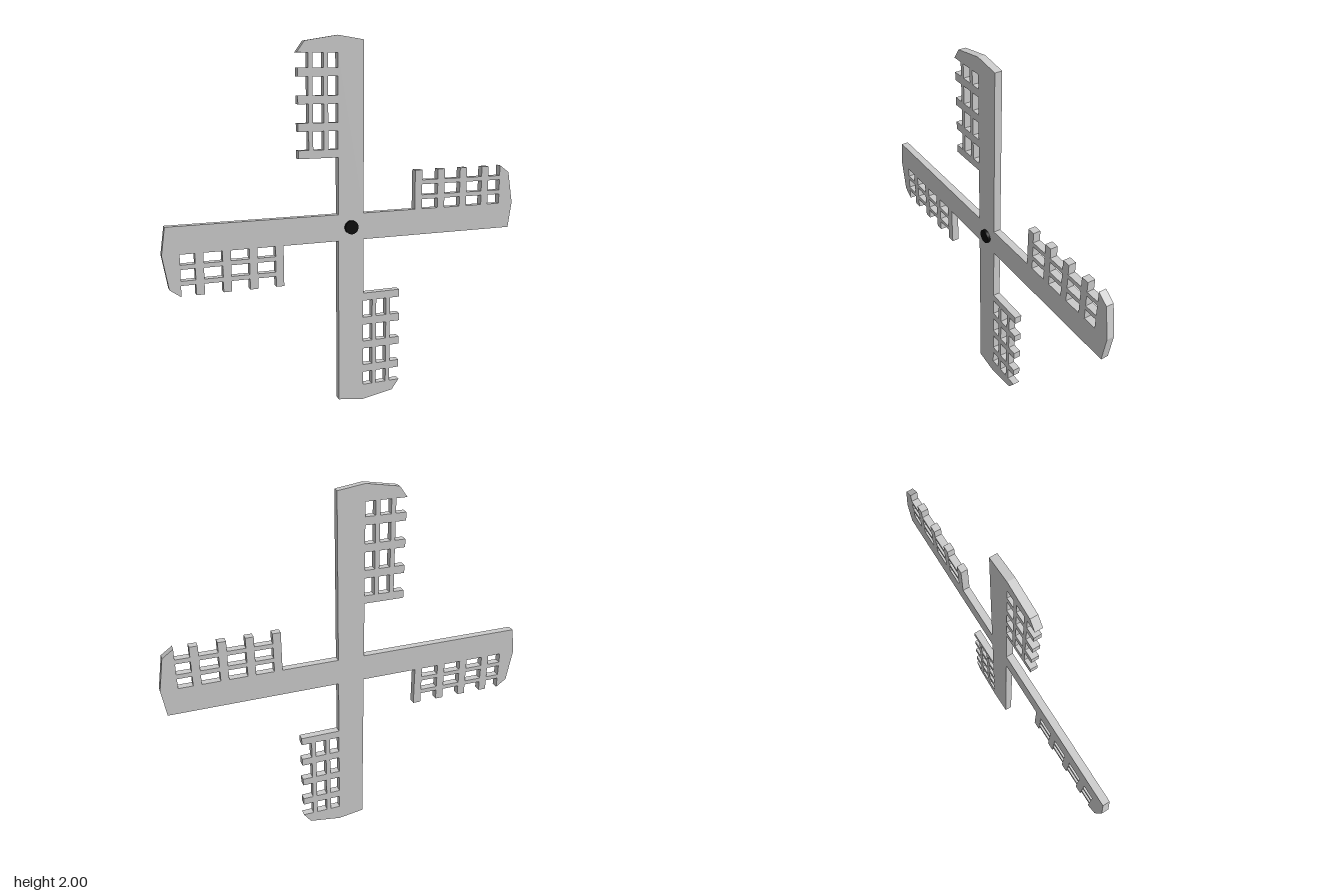
import * as THREE from 'three';

const HALF = 0.072;            // half width of a spar
const BACK = -0.028, FRONT = 0.012, HUB_FRONT = 0.028;
// lattice measures for the upright blade, measured from the hub
const RUNGS = [[0.377, 0.42], [0.516, 0.559], [0.655, 0.698], [0.794, 0.837]];
const RAIL = -0.233, RUNG_END = -0.289, CAP = 0.912;
const COLUMNS = [[-0.209, -0.15], [-0.126, -HALF]];

// quarter turns, clockwise seen from the front
function turn([x, y], quarters) {
  for (let i = 0; i < quarters; i++) [x, y] = [y, -x];
  return new THREE.Vector2(x, y);
}

// outline of one blade, from the inner left corner round the tip
function bladeOutline() {
  const pts = [[-HALF, HALF], [-HALF, RUNGS[0][0]]];
  RUNGS.forEach(([low, high], i) => {
    if (i > 0) pts.push([RAIL, low]);
    pts.push([RUNG_END, low], [RUNG_END, high], [RAIL, high]);
  });
  pts.push([RAIL, CAP], [-0.292, CAP], [-0.25, 0.97], [-HALF, 1], [HALF, 0.979]);
  return pts;
}

export function createModel() {
  const group = new THREE.Group();
  group.name = 'windmillSails';

  // four sails cut from one flat plate
  const outline = [];
  const holes = [];
  for (let q = 0; q < 4; q++) {
    for (const p of bladeOutline()) outline.push(turn(p, q));
    // lattice openings
    RUNGS.forEach(([, low], i) => {
      const high = i < RUNGS.length - 1 ? RUNGS[i + 1][0] : CAP;
      for (let [left, right] of COLUMNS) {
        const corners = [[left, low], [right, low], [right, high], [left, high]];
        holes.push(new THREE.Path(corners.map((p) => turn(p, q))));
      }
    });
  }
  const shape = new THREE.Shape(outline);
  shape.holes = holes;
  const plate = new THREE.ExtrudeGeometry(shape, { depth: FRONT - BACK, bevelEnabled: false });
  plate.translate(0, 0, BACK);
  const sails = new THREE.Mesh(plate, new THREE.MeshStandardMaterial({ color: 0xcccccc }));
  sails.name = 'sails';
  sails.position.y = 1;
  group.add(sails);

  // dark round hub pin on the front
  const depth = HUB_FRONT;
  const pin = new THREE.CylinderGeometry(0.037, 0.037, depth, 32);
  pin.rotateX(Math.PI / 2);
  const hub = new THREE.Mesh(pin, new THREE.MeshStandardMaterial({ color: 0x0a0a0a }));
  hub.name = 'hub';
  hub.position.set(0, 1, HUB_FRONT - depth / 2);
  group.add(hub);

  return group;
}
